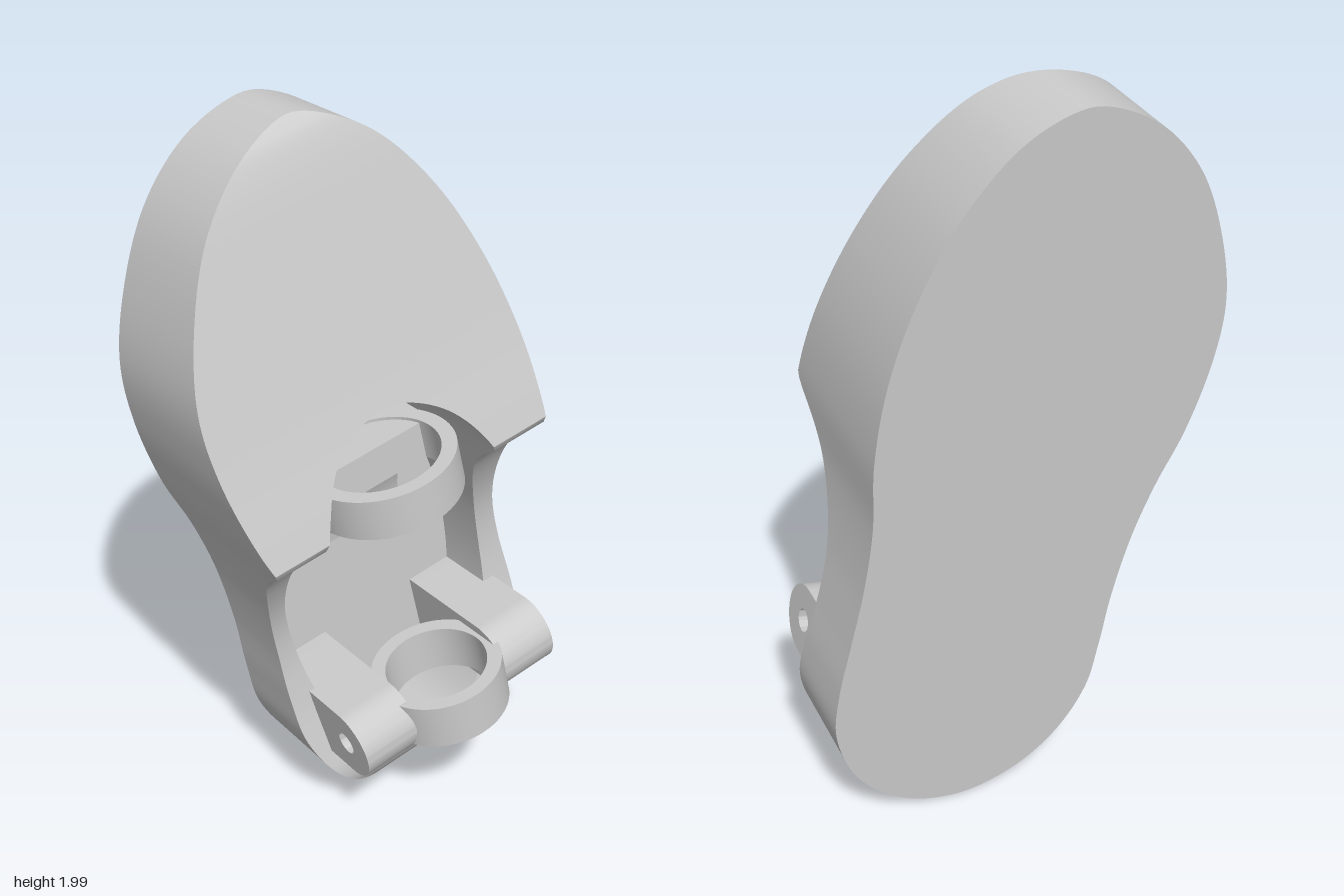
import * as THREE from 'three';
import { toCreasedNormals } from 'three/addons/utils/BufferGeometryUtils.js';

const V = (x, y, z = 0) => new THREE.Vector3(x, y, z);

// Tilted frame of the sole: X across, Y along the length, Z thickness
const N = V(-0.078, 0.0545, 1).normalize();
const E1 = V(0.978, 0.2, 0.0655).normalize();
const E2 = N.clone().cross(E1).normalize();
const BACK = -0.212;
const FLOOR = 0.06;

// Thickness along the length: heel, arch, crest, toe
const thickness = new THREE.CatmullRomCurve3([
  [-0.035, 0.12], [-0.012, 0.185], [0.02, 0.225], [0.09, 0.268], [0.155, 0.277], [0.25, 0.262],
  [0.4, 0.235], [0.56, 0.222], [0.68, 0.233], [0.79, 0.269], [0.907, 0.337], [0.973, 0.405],
  [1.02, 0.475], [1.042, 0.493], [1.07, 0.487], [1.33, 0.413], [1.65, 0.333], [1.9, 0.265],
  [1.95, 0.24], [1.98, 0.2], [1.998, 0.14],
].map(([y, h]) => V(y, h)), false, 'centripetal').getPoints(300);

function heightAt(y) {
  for (let i = 1; i < thickness.length; i++) {
    const a = thickness[i - 1], b = thickness[i];
    if (y <= b.x) return THREE.MathUtils.lerp(a.y, b.y, Math.max(0, (y - a.x) / (b.x - a.x)));
  }
  return thickness[thickness.length - 1].y;
}

// Upright x, y to sole coordinates, on the back or on the front surface
function toSole([x, y], front) {
  let Z = 0, p;
  for (let i = 0; i < 5; i++) {
    const v = V(x, y, (Z - N.x * x - N.y * y) / N.z);
    p = V(v.dot(E1), v.dot(E2));
    if (front) Z = heightAt(p.y);
  }
  return p;
}

// Closed smooth loop with a lookup of its left and right x for a given y
function makeLoop(points) {
  const pts = new THREE.CatmullRomCurve3(points, true, 'centripetal').getPoints(500);
  const low = pts.reduce((a, b) => (b.y < a.y ? b : a));
  const high = pts.reduce((a, b) => (b.y > a.y ? b : a));
  const span = (y) => {
    if (y <= low.y) return [low.x, low.x];
    if (y >= high.y) return [high.x, high.x];
    const xs = [];
    for (let i = 1; i < pts.length; i++) {
      const a = pts[i - 1], b = pts[i];
      if ((a.y <= y) !== (b.y <= y)) xs.push(a.x + (b.x - a.x) * (y - a.y) / (b.y - a.y));
    }
    return [Math.min(...xs), Math.max(...xs)];
  };
  return { low: low.y, high: high.y, span };
}

function soleGeometry() {
  const rightSide = [[0.06, 1.93], [0.2, 1.79], [0.31, 1.6], [0.385, 1.39], [0.42, 1.18], [0.425, 0.99],
    [0.45, 0.81], [0.485, 0.65], [0.52, 0.49], [0.53, 0.36], [0.485, 0.21], [0.41, 0.11], [0.3, 0.035],
    [0.16, 0.005], [0.01, 0.04], [-0.11, 0.125]];
  const leftSide = [[-0.215, 0.27], [-0.245, 0.41], [-0.27, 0.57], [-0.32, 0.76], [-0.385, 0.915],
    [-0.465, 1.07], [-0.52, 1.26], [-0.535, 1.42], [-0.5, 1.6], [-0.42, 1.79], [-0.305, 1.92],
    [-0.18, 1.985], [-0.1, 1.998]];
  const outer = makeLoop([...rightSide.map((p) => toSole(p, false)), ...leftSide.map((p) => toSole(p, true))]);
  const pocket = makeLoop([[-0.03, 1.315], [-0.13, 1.29], [-0.22, 1.21], [-0.27, 1.09], [-0.29, 0.95],
    [-0.27, 0.78], [-0.22, 0.58], [-0.16, 0.4], [-0.08, 0.26], [0.02, 0.17], [0.14, 0.14], [0.27, 0.18],
    [0.35, 0.28], [0.395, 0.42], [0.405, 0.58], [0.37, 0.8], [0.3, 0.98], [0.2, 1.17], [0.1, 1.27],
  ].map((p) => toSole(p, true)));

  // Rows packed tightly towards the rounded ends
  const ys = [];
  const addRows = (a, b, n) => {
    for (let i = 0; i < n; i++) ys.push(a + (b - a) * (1 - Math.cos(Math.PI * i / n)) / 2);
  };
  addRows(outer.low, pocket.low, 28);
  addRows(pocket.low, pocket.high, 80);
  addRows(pocket.high, outer.high, 44);
  ys.push(outer.high);
  const rows = ys.map((y) => {
    const [L, R] = outer.span(y);
    const [l, r] = pocket.span(y).map((x) => THREE.MathUtils.clamp(x, L, R));
    return { y, L, R, l, r, h: heightAt(y) };
  });

  const pos = [];
  const quad = (a, b, c, d) => {
    for (const p of [a, b, c, a, c, d]) pos.push(...p);
  };
  for (let i = 1; i < rows.length; i++) {
    const a = rows[i - 1], b = rows[i];
    const flat = (k, m, z) => quad([a[k], a.y, z ?? a.h], [a[m], a.y, z ?? a.h],
      [b[m], b.y, z ?? b.h], [b[k], b.y, z ?? b.h]);
    const wallLeft = (k, z) => quad([a[k], a.y, z], [a[k], a.y, a.h], [b[k], b.y, b.h], [b[k], b.y, z]);
    const wallRight = (k, z) => quad([a[k], a.y, a.h], [a[k], a.y, z], [b[k], b.y, z], [b[k], b.y, b.h]);
    flat('L', 'l');
    flat('r', 'R');
    flat('R', 'L', 0);
    wallLeft('L', 0);
    wallRight('R', 0);
    if (a.y >= pocket.low - 1e-6 && b.y <= pocket.high + 1e-6) {
      flat('l', 'r', FLOOR);
      wallRight('l', FLOOR);
      wallLeft('r', FLOOR);
    }
  }
  const g = new THREE.BufferGeometry();
  g.setAttribute('position', new THREE.Float32BufferAttribute(pos, 3));
  return toCreasedNormals(g, 0.5);
}

function extrude(shape, depth) {
  const g = new THREE.ExtrudeGeometry(shape, { depth, bevelEnabled: false, curveSegments: 32 });
  return toCreasedNormals(g.translate(0, 0, -depth / 2), 0.5);
}

// Flat band ring with its axis along the length
function ringGeometry(radius, wall, width) {
  const s = new THREE.Shape().absarc(0, 0, radius, 0, Math.PI * 2);
  s.holes.push(new THREE.Path().absarc(0, 0, radius - wall, 0, Math.PI * 2, true));
  return extrude(s, width).rotateX(Math.PI / 2);
}

// Side profile (thickness, length) swept across the sole
const across = (shape, width) => extrude(shape, width).rotateY(-Math.PI / 2);

export function createModel() {
  const model = new THREE.Group();
  model.name = 'footPlate';
  const frame = new THREE.Group();
  frame.name = 'tiltedSole';
  frame.quaternion.setFromRotationMatrix(new THREE.Matrix4().makeBasis(E1, E2, N));
  frame.position.z = BACK;
  model.add(frame);

  const material = new THREE.MeshStandardMaterial({ color: 0xcccccc });
  const add = (name, geometry, x = 0, y = 0, z = 0) => {
    const mesh = new THREE.Mesh(geometry, material);
    mesh.name = name;
    mesh.position.set(x, y, z);
    frame.add(mesh);
  };

  add('sole', soleGeometry());

  // Upper ring on its curved ramp
  add('upperRing', ringGeometry(0.2, 0.04, 0.115), 0.218, 1.051, 0.357);
  const ramp = new THREE.Shape();
  ramp.moveTo(FLOOR - 0.03, 0.7);
  ramp.lineTo(FLOOR, 0.7);
  ramp.bezierCurveTo(FLOOR + 0.02, 0.85, 0.15, 0.95, 0.32, 0.995);
  ramp.lineTo(0.32, 1.1);
  ramp.lineTo(FLOOR - 0.03, 1.1);
  add('ringRamp', across(ramp, 0.38), 0.218, 0, 0);

  // Lower ring between two drilled hinge lugs
  add('lowerRing', ringGeometry(0.18, 0.04, 0.135), 0.231, 0.341, 0.379);
  const lug = new THREE.Shape();
  lug.moveTo(-0.33, -0.1);
  lug.lineTo(0, -0.1);
  lug.absarc(0, 0, 0.1, -Math.PI / 2, Math.PI / 2);
  lug.lineTo(-0.33, 0.1);
  lug.holes.push(new THREE.Path().absarc(0, 0, 0.032, 0, Math.PI * 2, true));
  for (const [name, side] of [['leftLug', 1], ['rightLug', -1]]) {
    add(name, across(lug, 0.17), 0.234 + side * 0.235, 0.333, 0.372);
  }
  return model;
}
